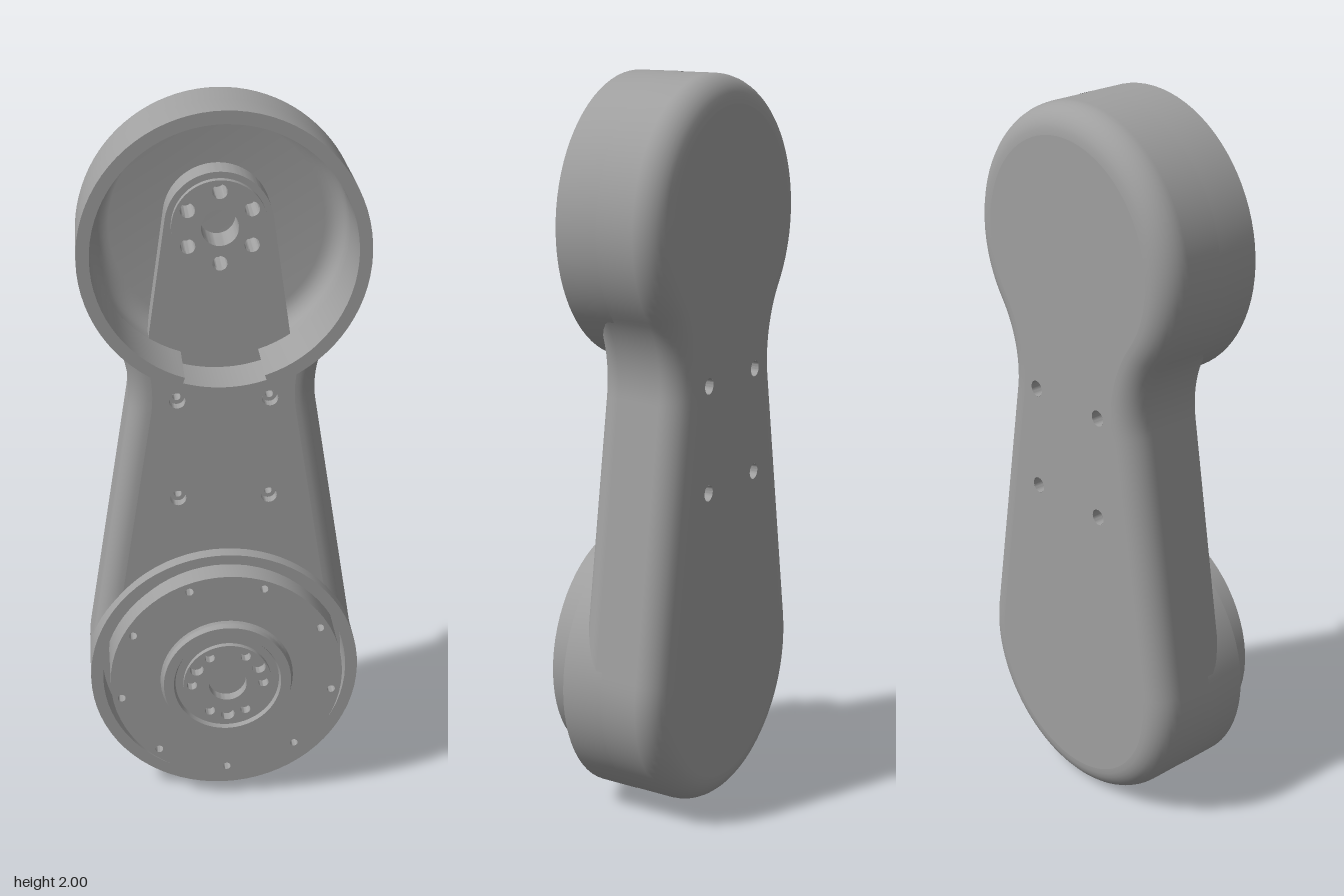
import * as THREE from 'three';
import { toCreasedNormals } from 'three/addons/utils/BufferGeometryUtils.js';

const R = 0.378, LOW = 0.379, TOP = 1.622, GAP = 0.31; // end radius, end centres, notch half angle
const TONGUE_Z = -0.08, FLOOR_Z = -0.165;
const bolts = [[-0.124, 0.92], [0.124, 0.92], [-0.124, 1.21], [0.124, 1.21]];

export function createModel() {
  const model = new THREE.Group();
  const grey = new THREE.MeshStandardMaterial({ color: 0xa0a0a0, side: THREE.DoubleSide });
  grey.name = 'machined grey';

  const add = (name, geo, x = 0, y = 0, z = 0) => {
    const mesh = new THREE.Mesh(geo, grey);
    mesh.name = name;
    mesh.position.set(x, y, z);
    model.add(mesh);
    return mesh;
  };
  // Profile [radius, z] turned about the z axis; angle 0 points down
  const turned = (profile, start = 0, length = Math.PI * 2, segs = 72) => {
    const g = new THREE.LatheGeometry(profile.map(([r, z]) => new THREE.Vector2(r, z)), segs, start, length);
    return toCreasedNormals(g.rotateX(Math.PI / 2), 0.6);
  };
  const punch = (shape, x, y, r) => {
    shape.holes.push(new THREE.Path().absarc(x, y, r, 0, Math.PI * 2, true));
  };
  const punchRing = (shape, count, ringR, r, startDeg, y = 0) => {
    for (let i = 0; i < count; i++) {
      const a = THREE.MathUtils.degToRad(startDeg + i * 360 / count);
      punch(shape, Math.cos(a) * ringR, y + Math.sin(a) * ringR, r);
    }
  };
  const plate = (shape, depth) => toCreasedNormals(
    new THREE.ExtrudeGeometry(shape, { depth, bevelEnabled: false, curveSegments: 32 }), 0.6);
  const disc = r => new THREE.Shape().absarc(0, 0, r, 0, Math.PI * 2);

  // Arm outline: lower arc, straight side, concave neck and upper arc, then mirrored
  const theta = THREE.MathUtils.degToRad(9.2), neckR = 0.3, d = R + neckR;
  const alpha = theta - Math.acos(1 - (TOP - LOW) * Math.sin(theta) / d);
  const cx = d * Math.cos(alpha), cy = TOP + d * Math.sin(alpha);
  const half = [];
  const arc = (x, y, r, a0, a1, n) => {
    for (let i = 0; i <= n; i++) {
      const a = a0 + (a1 - a0) * i / n, nx = Math.cos(a), ny = Math.sin(a);
      half.push({ x: x + r * nx, y: y + r * ny, nx, ny });
    }
  };
  arc(0, LOW, R, -Math.PI / 2, theta, 24);
  const a = half[half.length - 1];
  const b = { x: cx - neckR * a.nx, y: cy - neckR * a.ny };
  for (let i = 1; i < 24; i++) {
    half.push({ ...a, x: a.x + (b.x - a.x) * i / 24, y: a.y + (b.y - a.y) * i / 24 });
  }
  arc(cx, cy, -neckR, theta, alpha, 16);
  half.pop();
  arc(0, TOP, R, alpha, Math.PI / 2, 32);
  const outline = [...half, ...half.slice(1, -1).reverse().map(p => ({ ...p, x: -p.x, nx: -p.nx }))];

  // Inset the outline; the front edge stays inside the walls of the two cups
  const inset = (amount, front) => outline.map(p => {
    const v = new THREE.Vector2(p.x - p.nx * amount, p.y - p.ny * amount);
    if (front) {
      for (const y of [LOW, TOP]) {
        const dy = v.y - y, dist = Math.hypot(v.x, dy);
        if (dist < 0.36) v.set(v.x * 0.36 / dist, y + dy * 0.36 / dist);
      }
    }
    return v;
  });

  // Arm sides with a rounded back edge and a rounded front edge
  const rings = [];
  for (let i = 0; i <= 8; i++) {
    const t = i / 8 * Math.PI / 2;
    rings.push({ pts: inset(0.075 * (1 - Math.sin(t)), false), z: -0.125 - 0.075 * Math.cos(t) });
  }
  for (let i = 0; i <= 8; i++) {
    const t = i / 8 * Math.PI / 2;
    rings.push({ pts: inset(0.06 * (1 - Math.cos(t)), true), z: 0.06 * Math.sin(t) });
  }
  const n = outline.length, pos = [], index = [];
  rings.forEach(({ pts, z }, j) => pts.forEach((p, i) => {
    pos.push(p.x, p.y, z);
    if (j < rings.length - 1) {
      const p0 = j * n + i, p1 = j * n + (i + 1) % n;
      index.push(p0, p1, p1 + n, p0, p1 + n, p0 + n);
    }
  }));
  const sides = new THREE.BufferGeometry();
  sides.setAttribute('position', new THREE.Float32BufferAttribute(pos, 3));
  sides.setIndex(index);
  sides.computeVertexNormals();
  add('armSides', sides);

  // Back face
  const back = new THREE.Shape(rings[0].pts);
  bolts.forEach(([x, y]) => punch(back, x, y, 0.022));
  add('armBack', new THREE.ShapeGeometry(back, 16).rotateY(Math.PI), 0, 0, -0.2);

  // Front face, bounded by the two cups
  const away = p => Math.hypot(p.x, p.y - LOW) > 0.361 && Math.hypot(p.x, p.y - TOP) > 0.361;
  const right = rings[rings.length - 1].pts.slice(0, half.length).filter(away);
  const left = right.map(p => new THREE.Vector2(-p.x, p.y)).reverse();
  const border = (y, r, p) => {
    const a0 = Math.atan2(p.y - y, p.x), a1 = Math.sign(a0) * Math.PI - a0, pts = [];
    for (let i = 0; i <= 32; i++) {
      const t = a0 + (a1 - a0) * i / 32;
      pts.push(new THREE.Vector2(r * Math.cos(t), y + r * Math.sin(t)));
    }
    return pts;
  };
  const front = new THREE.Shape([...right, ...border(TOP, 0.377, right[right.length - 1]),
    ...left, ...border(LOW, 0.37, right[0]).reverse()]);
  bolts.forEach(([x, y]) => punch(front, x, y, 0.022));
  add('armFront', new THREE.ShapeGeometry(front, 16), 0, 0, 0.06);

  // Stepped bolt holes through the arm
  bolts.forEach(([x, y]) => add('boltHole', turned(
    [[0.022, 0.06], [0.022, 0.03], [0.011, 0.03], [0.011, -0.16], [0.022, -0.16], [0.022, -0.2]],
    0, Math.PI * 2, 20), x, y));

  // Upper cup: notched wall above, rounded floor below
  add('upperCupWall', turned([[0.379, -0.02], [0.379, 0.1], [0.345, 0.1], [0.345, TONGUE_Z]],
    GAP, Math.PI * 2 - 2 * GAP), 0, TOP);
  const bowl = [[0.345, TONGUE_Z]];
  for (let i = 0; i <= 6; i++) {
    const t = i / 6 * Math.PI / 2;
    bowl.push([0.29 + 0.055 * Math.cos(t), -0.11 - 0.055 * Math.sin(t)]);
  }
  bowl.push([0, FLOOR_Z]);
  add('upperCupFloor', turned(bowl), 0, TOP);
  add('notchFace', turned([[R, 0.06], [R, TONGUE_Z]], -GAP, 2 * GAP, 12), 0, TOP);
  for (const s of [-1, 1]) {
    const t = -Math.PI / 2 + s * GAP;
    add('notchEnd', new THREE.PlaneGeometry(0.034, 0.18).rotateX(Math.PI / 2).rotateZ(t),
      0.362 * Math.cos(t), TOP + 0.362 * Math.sin(t), 0.01);
  }

  // Tongue and its bolted flange inside the upper cup
  const hubY = 1.647, lean = 0.14;
  const tongue = new THREE.Shape();
  tongue.moveTo(-0.11, 1.25).lineTo(0.11, 1.25).lineTo(0.192, 1.335);
  tongue.absarc(0, hubY, 0.145, lean, Math.PI - lean);
  tongue.lineTo(-0.192, 1.335);
  const flange = disc(0.128);
  for (const [shape, y] of [[tongue, hubY], [flange, 0]]) {
    punch(shape, 0, y, 0.05);
    punchRing(shape, 6, 0.098, 0.02, 90, y);
  }
  add('tongue', plate(tongue, TONGUE_Z - FLOOR_Z), 0, 0, FLOOR_Z);
  add('tongueFlange', plate(flange, 0.02), 0, hubY, TONGUE_Z);

  // Lower cup
  add('lowerCup', turned([[0.379, -0.02], [0.379, 0.1], [0.345, 0.1], [0.345, 0], [0, 0]]), 0, LOW);

  // Motor cover with a ring of screw holes
  const motorY = 0.405;
  const cover = disc(0.325);
  punchRing(cover, 9, 0.3, 0.011, -90);
  add('motorCover', plate(cover, 0.17), 0, motorY, 0);

  // Output hub: collar and drilled disc
  add('hubCollar', turned([[0.186, 0.17], [0.18, 0.175], [0.178, 0.182], [0.178, 0.197],
    [0.15, 0.197], [0.145, 0.185], [0.12, 0.185]]), 0, motorY);
  const hub = disc(0.123);
  punch(hub, 0, 0, 0.053);
  punchRing(hub, 6, 0.1, 0.014, 0);
  punchRing(hub, 3, 0.1, 0.019, 30);
  add('hubDisc', plate(hub, 0.03), 0, motorY, 0.17);

  return model;
}
